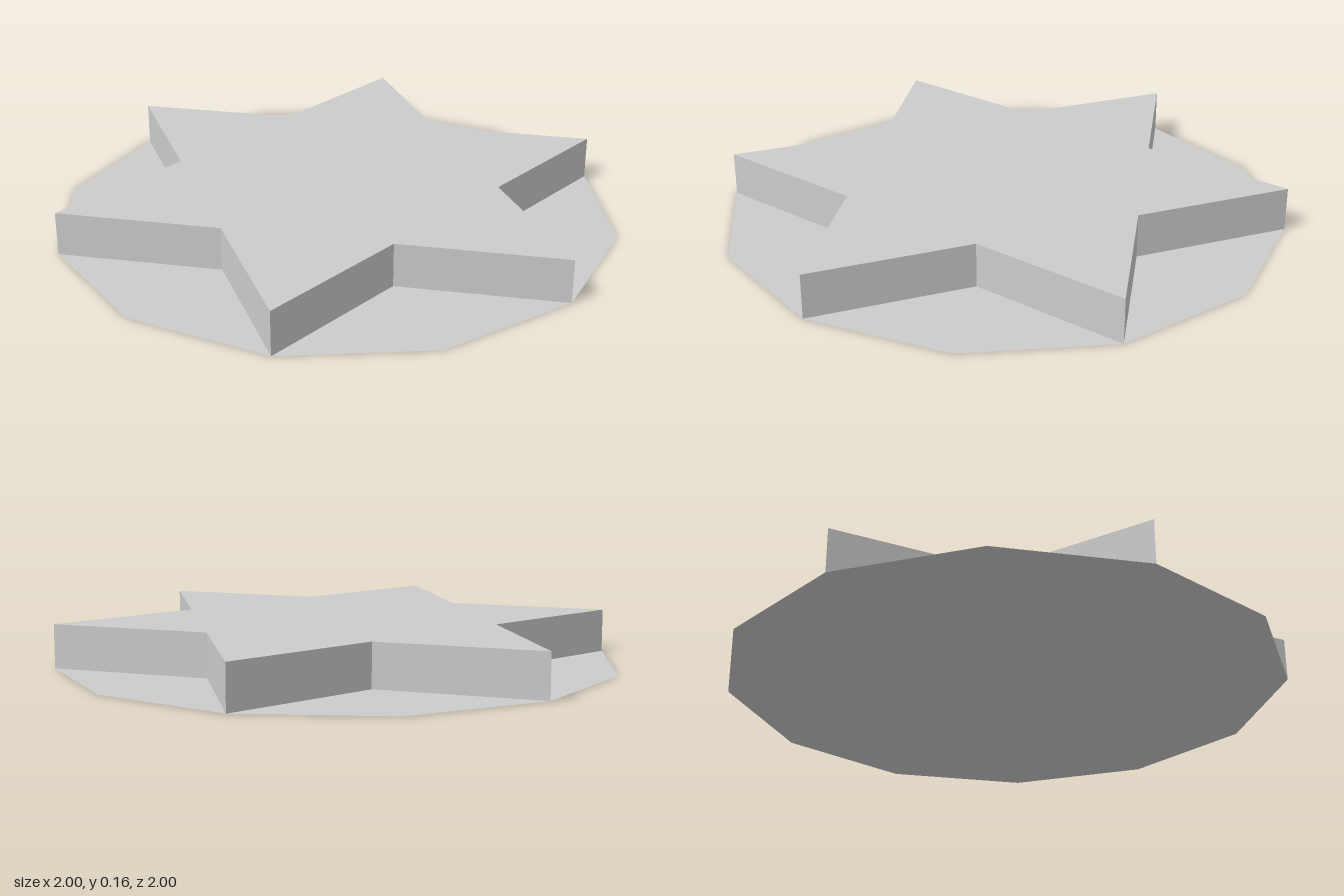
import * as THREE from 'three';

export function createModel() {
  const group = new THREE.Group();
  const grey = new THREE.MeshStandardMaterial({ color: 0xcccccc });
  grey.name = 'light grey';
  const greySheet = new THREE.MeshStandardMaterial({ color: 0xcccccc, side: THREE.DoubleSide });
  greySheet.name = 'light grey sheet';

  // Six-pointed star: tips on the unit circle, notches where the two triangles cross
  const points = [];
  for (let i = 0; i < 12; i++) {
    const angle = (i * Math.PI) / 6;
    const radius = i % 2 ? 1 : 1 / Math.sqrt(3);
    points.push(new THREE.Vector2(radius * Math.cos(angle), radius * Math.sin(angle)));
  }
  const starGeometry = new THREE.ExtrudeGeometry(new THREE.Shape(points), {
    depth: 0.155,
    bevelEnabled: false,
  });
  starGeometry.rotateX(-Math.PI / 2);
  const star = new THREE.Mesh(starGeometry, grey);
  star.name = 'star';
  group.add(star);

  // Flat twelve-sided base sheet
  const baseGeometry = new THREE.CircleGeometry(1, 12);
  baseGeometry.rotateX(-Math.PI / 2);
  const base = new THREE.Mesh(baseGeometry, greySheet);
  base.name = 'base';
  group.add(base);

  return group;
}
